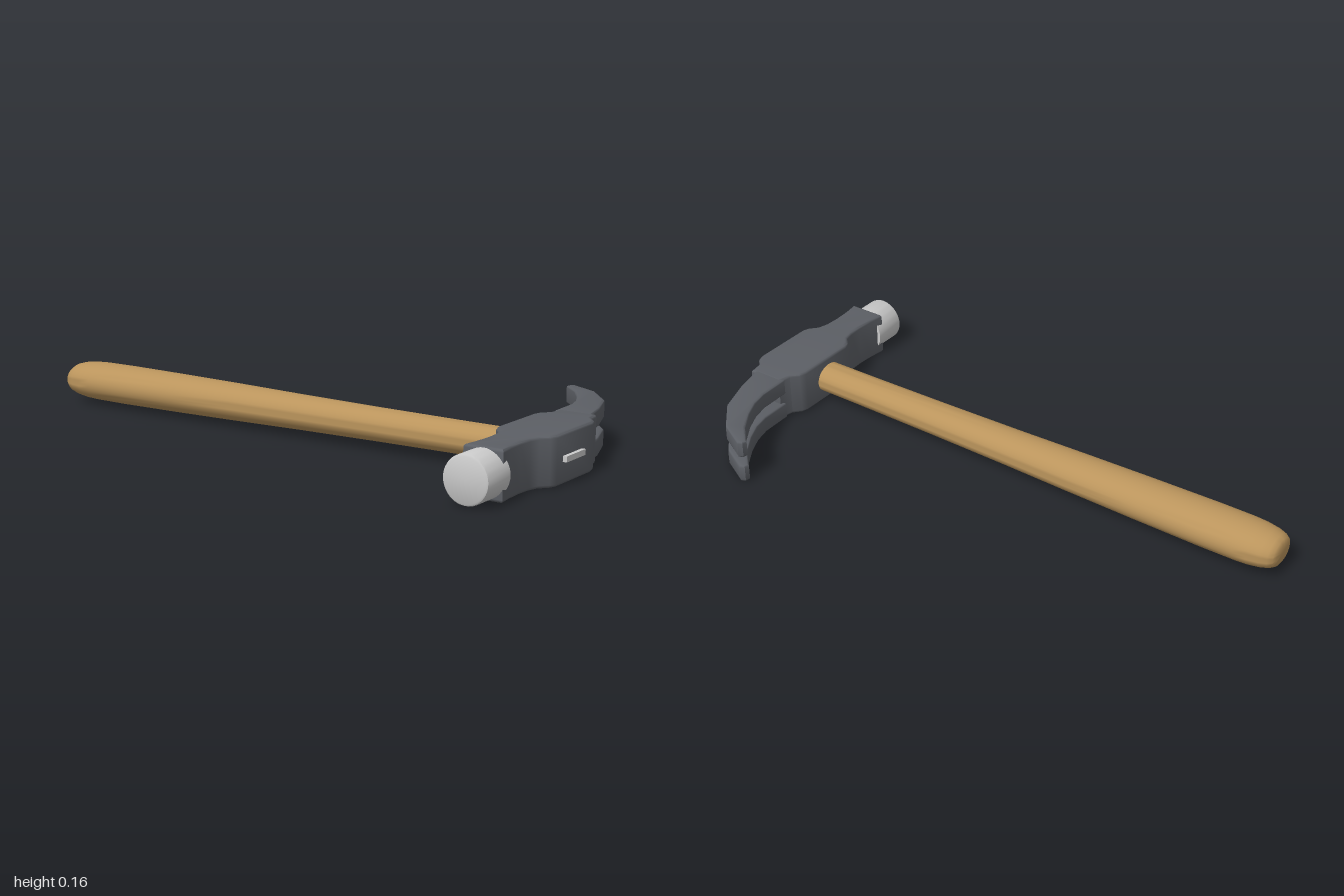
import * as THREE from 'three';
import { toCreasedNormals } from 'three/addons/utils/BufferGeometryUtils.js';

const wood = new THREE.MeshStandardMaterial({ name: 'wood', color: 0xba945c });
const steel = new THREE.MeshStandardMaterial({ name: 'dark steel', color: 0x5c5f65 });
const polished = new THREE.MeshStandardMaterial({ name: 'polished steel', color: 0xcacaca });

const HEAD_X = 0.886, MID_Y = 0.079, HANDLE_Z = 0.07;

function addMesh(group, name, geometry, material) {
  const mesh = new THREE.Mesh(geometry, material);
  mesh.name = name;
  group.add(mesh);
  return mesh;
}

// Bevelled slab: outline in (x, z), standing between two heights
function slab(outline, bottom, top, bevel) {
  const shape = new THREE.Shape(outline.map(([x, z]) => new THREE.Vector2(x, z)));
  const geometry = new THREE.ExtrudeGeometry(shape, {
    depth: top - bottom - 2 * bevel, bevelThickness: bevel, bevelSize: bevel,
    bevelOffset: -bevel, bevelSegments: 3,
  });
  geometry.rotateX(Math.PI / 2).translate(0, top - bevel, 0);
  return toCreasedNormals(geometry, 0.6);
}

function lathe(profile, segments) {
  return new THREE.LatheGeometry(profile.map(([r, y]) => new THREE.Vector2(r, y)), segments);
}

export function createModel() {
  const hammer = new THREE.Group();
  hammer.name = 'hammer';

  // Oval handle, slightly flatter towards the butt
  const handle = lathe([
    [0, -1], [0.042, -1], [0.058, -0.994], [0.069, -0.98], [0.078, -0.955], [0.085, -0.915],
    [0.0875, -0.87], [0.0875, -0.75], [0.083, -0.5], [0.077, -0.25], [0.07, 0],
    [0.064, 0.3], [0.06, 0.6], [0.058, 0.9], [0, 0.9],
  ], 40);
  handle.rotateZ(-Math.PI / 2);
  const p = handle.attributes.position;
  for (let i = 0; i < p.count; i++) {
    const t = THREE.MathUtils.clamp((p.getX(i) + 0.9) / 1.7, 0, 1);
    p.setY(i, p.getY(i) * THREE.MathUtils.lerp(0.75, 0.87, t));
  }
  addMesh(hammer, 'handle', toCreasedNormals(handle, 0.7), wood)
    .position.set(0, MID_Y, HANDLE_Z);

  const head = new THREE.Group();
  head.name = 'head';
  hammer.add(head);

  // Cheek and neck, symmetric about the head axis: [half width, z]
  const side = [
    [0.062, -0.148], [0.07, -0.1], [0.093, -0.075], [0.1, -0.05], [0.1, 0.165], [0.091, 0.19],
    [0.068, 0.215], [0.058, 0.25], [0.055, 0.3], [0.058, 0.36], [0.065, 0.415],
  ];
  const cheek = [
    ...side.map(([w, z]) => [HEAD_X + w, z]),
    ...side.slice().reverse().map(([w, z]) => [HEAD_X - w, z]),
  ];
  addMesh(head, 'cheekAndNeck', slab(cheek, 0.001, 0.157, 0.01), steel);

  // Two curved claws
  const claw = [
    [0.815, -0.13], [0.812, -0.24], [0.797, -0.3], [0.769, -0.36], [0.724, -0.43], [0.666, -0.488],
    [0.669, -0.505], [0.684, -0.513], [0.783, -0.46], [0.868, -0.36], [0.911, -0.24], [0.936, -0.13],
  ];
  for (const [name, bottom] of [['lowerClaw', 0.002], ['upperClaw', 0.096]]) {
    addMesh(head, name, slab(claw, bottom, bottom + 0.06, 0.007), steel);
  }

  // Round striking face
  const face = lathe([[0, 0.39], [0.075, 0.39], [0.075, 0.502], [0.073, 0.508], [0.068, 0.511], [0, 0.511]], 40);
  face.rotateX(Math.PI / 2);
  addMesh(head, 'strikingFace', toCreasedNormals(face, 0.6), polished)
    .position.set(HEAD_X, MID_Y, 0);

  // Wedge showing in the end of the eye
  addMesh(head, 'wedge', new THREE.BoxGeometry(0.03, 0.018, 0.117), polished)
    .position.set(0.984, MID_Y, 0.073);

  return hammer;
}
